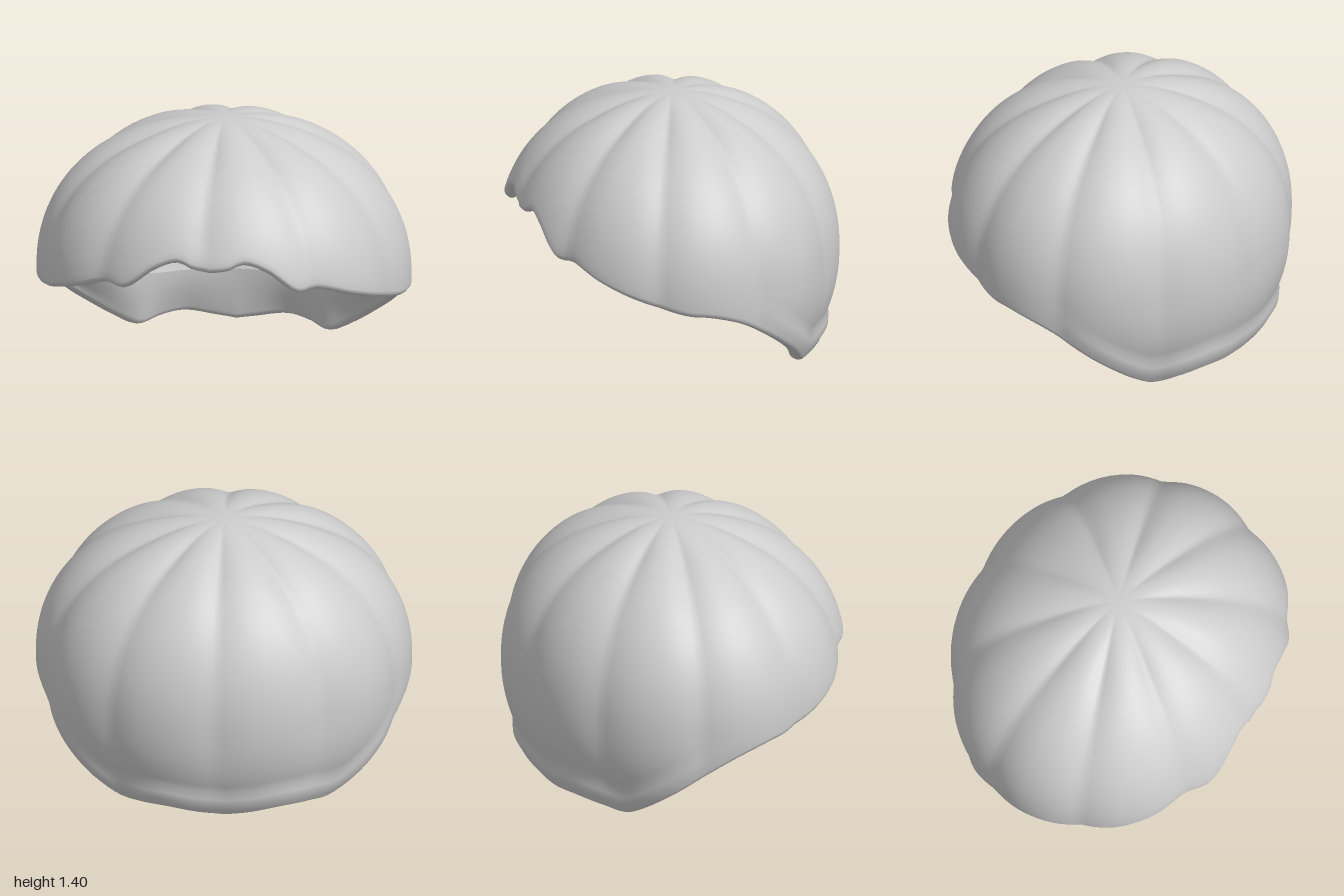
import * as THREE from 'three';
import { mergeVertices } from 'three/addons/utils/BufferGeometryUtils.js';

const SEGMENTS = 160, ROWS = 36, LIP = 8, HEM = 8;
const MID = 0.55, POWER = 2.12, LIP_DROP = 0.035;
const OUTER = 0.85, INNER = 0.815, INNER_SCALE = 0.96;
const { smoothstep, lerp } = THREE.MathUtils;

// Height by angle from the front (degrees), same on both sides
function heightCurve(angles, heights) {
  const curve = new THREE.CubicInterpolant(angles, heights, 1);
  return a => Math.max(0, curve.evaluate(Math.abs(a) * 180 / Math.PI)[0]);
}
const rimHeight = heightCurve(
  [0, 6, 11, 19, 29, 36, 48, 65, 79, 87, 98, 108, 122, 132, 139, 150, 160, 172, 180],
  [0.82, 0.835, 0.865, 0.82, 0.7, 0.705, 0.64, 0.55, 0.49, 0.475, 0.42, 0.33, 0.18, 0.07, 0.012, 0.03, 0.042, 0.015, 0.0]);
// Top edge of the folded hem: level across the back, rising along the sides
const hemHeight = heightCurve(
  [0, 20, 45, 65, 90, 98, 116, 130, 145, 160, 180],
  [0.99, 0.96, 0.79, 0.68, 0.58, 0.54, 0.44, 0.35, 0.305, 0.3, 0.3]);

// Rounded dome profile: p = 0 at the crown, larger further down
const profile = (p, height) => {
  const c = Math.cos(p), e = 2 / POWER;
  return { r: Math.pow(Math.abs(Math.sin(p)), e), y: MID + height * Math.sign(c) * Math.pow(Math.abs(c), e) };
};
const angleAt = (y, height) => {
  const u = (y - MID) / height;
  return Math.acos(Math.sign(u) * Math.pow(Math.abs(u), POWER / 2));
};

// Depth of the ten soft grooves, fading out at the crown and low on the sides
const groove = (a, r, y) =>
  0.032 * Math.pow(1 - Math.abs(Math.sin(5 * (a + 0.05))), 1.2) * smoothstep(r, 0.05, 0.5)
  * lerp(0.4, 1, smoothstep(y, 0.15, 0.6));

// Sweeps a column of [radius, height] points around the vertical axis
function sweep(column) {
  const positions = [], index = [];
  let rows = 0;
  for (let i = 0; i < SEGMENTS; i++) {
    let a = (i / SEGMENTS) * Math.PI * 2;
    if (a > Math.PI) a -= Math.PI * 2;
    const points = column(a);
    rows = points.length;
    for (const [r, y] of points) {
      positions.push(r * Math.sin(a), y, r * 0.9 * Math.cos(a) + 0.02 * Math.min(1, r));
    }
  }
  for (let i = 0; i < SEGMENTS; i++) {
    const n = (i + 1) % SEGMENTS;
    for (let j = 0; j < rows - 1; j++) {
      const a = i * rows + j, b = n * rows + j;
      index.push(a, a + 1, b + 1, a, b + 1, b);
    }
  }
  const geometry = new THREE.BufferGeometry();
  geometry.setAttribute('position', new THREE.Float32BufferAttribute(positions, 3));
  geometry.setIndex(index);
  // Weld the crown so that it shades smoothly
  const welded = mergeVertices(geometry, 1e-4);
  welded.computeVertexNormals();
  return welded;
}

// Lobed outer skin, rolled lip and the hem folded up inside
function outerColumn(a) {
  const points = [];
  const edgeY = rimHeight(a) + LIP_DROP;
  const back = smoothstep(-Math.cos(a), 0.2, 0.9);
  const end = angleAt(edgeY, OUTER);
  let edgeR = 0;
  for (let j = 0; j <= ROWS; j++) {
    const { r, y } = profile(end * j / ROWS, OUTER);
    const flare = 0.05 * back * smoothstep(edgeY + 0.14 - y, 0, 0.1);
    const rise = (y - MID) / OUTER;
    const depth = groove(a, r, y) / Math.hypot(r, rise);
    edgeR = r * (1 - depth) + flare;
    points.push([edgeR, y - rise * depth * smoothstep(y - edgeY, 0, 0.15)]);
  }
  const hemR = 0.92 * profile(end, OUTER).r;
  for (let j = 1; j < LIP; j++) {
    const t = Math.PI * j / LIP;
    points.push([(edgeR + hemR) / 2 + (edgeR - hemR) / 2 * Math.cos(t), edgeY - LIP_DROP * Math.sin(t)]);
  }
  const topR = lerp(0.82, 0.73, smoothstep(-Math.cos(a), 0, 0.8));
  for (let j = 0; j <= HEM; j++) {
    const t = j / HEM;
    points.push([lerp(hemR, topR, Math.sin(t * Math.PI / 2)), lerp(edgeY, hemHeight(a), t)]);
  }
  return points;
}

// Smooth lining, from behind the hem up to the crown
function liningColumn(a) {
  const points = [];
  const end = angleAt(hemHeight(a) - 0.06, INNER);
  for (let j = ROWS; j >= 0; j--) {
    const { r, y } = profile(end * j / ROWS, INNER);
    points.push([INNER_SCALE * r, y]);
  }
  return points;
}

export function createModel() {
  const group = new THREE.Group();
  group.name = 'lobedCap';
  const grey = new THREE.MeshStandardMaterial({ color: 0xcccccc, side: THREE.DoubleSide });
  grey.name = 'light grey';
  const addPart = (name, column) => {
    const mesh = new THREE.Mesh(sweep(column), grey);
    mesh.name = name;
    group.add(mesh);
  };
  addPart('capShell', outerColumn);
  addPart('lining', liningColumn);
  return group;
}
